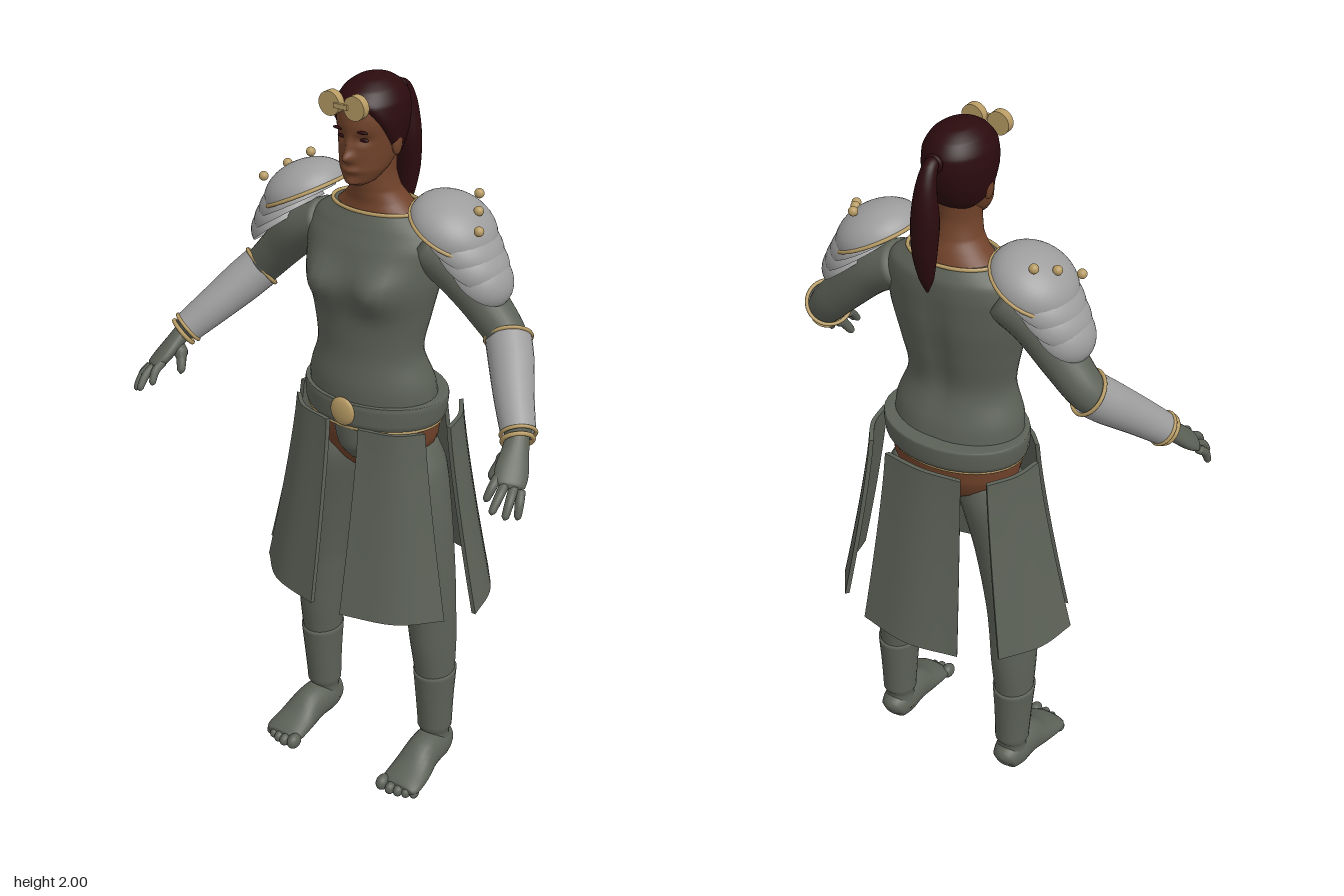
import * as THREE from 'three';
import { toCreasedNormals } from 'three/addons/utils/BufferGeometryUtils.js';

const V = (x, y, z) => new THREE.Vector3(x, y, z);
const mat = (name, color, side = THREE.FrontSide) => {
  const m = new THREE.MeshStandardMaterial({ color, side });
  m.name = name;
  return m;
};

// Skins a stack of closed rings of points
function skinRings(rings, caps = true) {
  const n = rings[0].length, pos = [], idx = [];
  rings.forEach(r => r.forEach(p => pos.push(p.x, p.y, p.z)));
  for (let i = 0; i < rings.length - 1; i++) for (let j = 0; j < n; j++) {
    const a = i * n + j, b = i * n + (j + 1) % n;
    idx.push(a, a + n, b, b, a + n, b + n);
  }
  if (caps) [0, rings.length - 1].forEach((r, end) => {
    const c = rings[r].reduce((s, p) => s.add(p), V(0, 0, 0)).divideScalar(n), k = pos.length / 3;
    pos.push(c.x, c.y, c.z);
    for (let j = 0; j < n; j++) {
      const a = r * n + j, b = r * n + (j + 1) % n;
      end ? idx.push(k, b, a) : idx.push(k, a, b);
    }
  });
  const g = new THREE.BufferGeometry();
  g.setAttribute('position', new THREE.Float32BufferAttribute(pos, 3));
  g.setIndex(idx);
  g.computeVertexNormals();
  return g;
}

// Sweeps an ellipse along rows of [x, y, z, ra, rb]; level keeps the rings horizontal
function sweep(rows, { level = false, ref = V(0, 0, 1), steps = 24, seg = 24, warp = null, caps = true } = {}) {
  const path = new THREE.CatmullRomCurve3(rows.map(r => V(r[0], r[1], r[2])));
  const radii = new THREE.CatmullRomCurve3(rows.map(r => V(r[3], r[4] ?? r[3], 0)));
  const rings = [];
  for (let i = 0; i <= steps; i++) {
    const c = path.getPoint(i / steps), r = radii.getPoint(i / steps);
    const t = level ? V(0, 1, 0) : path.getTangent(i / steps);
    const u = t.clone().cross(ref).normalize(), v = u.clone().cross(t), ring = [];
    for (let j = 0; j < seg; j++) {
      const a = j / seg * Math.PI * 2;
      const p = c.clone().addScaledVector(u, Math.cos(a) * r.x).addScaledVector(v, Math.sin(a) * r.y);
      if (warp) warp(p, c);
      ring.push(p);
    }
    rings.push(ring);
  }
  return skinRings(rings, caps);
}

// Upright form from rows of [y, halfWidth, frontZ, backZ]
const loft = (rows, opt = {}) => sweep(
  rows.map(([y, w, f, b]) => [0, y, (f + b) / 2, w, (f - b) / 2]), { level: true, steps: 40, seg: 40, ...opt });

// Skirt panel between a lower and an upper arc of [x, z] points
function skirtPanel(bottom, top) {
  const arc = pts => new THREE.CatmullRomCurve3(pts.map(([x, z]) => V(x, 0, z)));
  const lo = arc(bottom), hi = arc(top), n = 10, rings = [];
  [0, ...Array.from({ length: 11 }, (_, i) => i / 10), 1].forEach((h, k) => {
    const thick = k === 0 || k === 12 ? 0 : 0.012, outer = [], inner = [];
    for (let i = 0; i <= n; i++) {
      const p = hi.getPoint(i / n).lerp(lo.getPoint(i / n), Math.pow(1 - h, 1.2));
      const q = p.clone().multiplyScalar(1 - thick / p.length());
      p.y = q.y = 0.578 + h * 0.527;
      outer.push(p);
      inner.unshift(q);
    }
    rings.push([...outer, ...inner]);
  });
  return toCreasedNormals(skinRings(rings, false), 0.6);
}

function mirrored(geo) {
  const g = geo.clone().scale(-1, 1, 1);
  const src = g.index ? Array.from(g.index.array) : Array.from({ length: g.attributes.position.count }, (_, i) => i);
  for (let i = 0; i < src.length; i += 3) [src[i], src[i + 1]] = [src[i + 1], src[i]];
  g.setIndex(src);
  return g;
}

const bump = (p, x, y, sx, sy) => Math.exp(-(((p.x - x) / sx) ** 2) - (((p.y - y) / sy) ** 2));
const ball = (x, y, z, rx, ry = rx, rz = rx) => new THREE.SphereGeometry(1, 20, 14).scale(rx, ry, rz).translate(x, y, z);
const ringAt = (p, dir, r, tube) => new THREE.TorusGeometry(r, tube, 8, 32)
  .applyQuaternion(new THREE.Quaternion().setFromUnitVectors(V(0, 0, 1), dir.clone().normalize())).translate(p.x, p.y, p.z);
const loop = (y, w, f, b, tube) => new THREE.TubeGeometry(new THREE.CatmullRomCurve3(
  Array.from({ length: 24 }, (_, i) => i / 12 * Math.PI).map(a => V(Math.cos(a) * w, y, (f + b) / 2 + Math.sin(a) * (f - b) / 2)), true), 72, tube, 8, true);

export function createModel() {
  const model = new THREE.Group();
  const suit = mat('grey green cloth', 0x5c6157, THREE.DoubleSide);
  const steel = mat('steel', 0x9d9d9e, THREE.DoubleSide);
  const skin = mat('skin', 0x70422a);
  const hair = mat('dark red hair', 0x2b0b0e);
  const gold = mat('gold', 0xb79b64);
  const add = (name, geo, m) => {
    const mesh = new THREE.Mesh(geo, m);
    mesh.name = name;
    model.add(mesh);
  };
  const pair = (name, geo, m) => { add(name + 'Left', geo, m); add(name + 'Right', mirrored(geo), m); };

  // Torso, with the chest raised and a shallow spine groove
  add('tunic', loft([[1.09, .185, .11, -.165], [1.2, .18, .112, -.142], [1.3, .15, .1, -.11], [1.4, .168, .1, -.125],
    [1.5, .19, .1, -.14], [1.58, .195, .085, -.145], [1.63, .175, .063, -.142], [1.665, .125, .045, -.122]], {
    warp: (p, c) => {
      if (p.z > c.z) p.z += .045 * (bump(p, .085, 1.485, .06, .06) + bump(p, -.085, 1.485, .06, .06));
      else p.z += .014 * bump(p, 0, 1.42, .03, .2);
    } }), suit);
  add('neckTrim', loop(1.666, .126, .046, -.123, .005), gold);
  add('pelvis', loft([[.925, .02, 0, -.04], [.95, .08, .05, -.09], [1, .155, .08, -.14], [1.05, .18, .1, -.16], [1.11, .185, .11, -.165]]), skin);
  add('loincloth', sweep([[0, .985, .055, .012, .02], [0, 1.03, .075, .04, .033], [0, 1.11, .085, .055, .035]], { level: true }), suit);
  add('hemTrim', loop(1.098, .189, .114, -.169, .005), gold);
  add('belt', loft([[1.1, .18, .1, -.15], [1.102, .194, .118, -.175], [1.115, .2, .122, -.183],
    [1.155, .204, .122, -.186], [1.168, .202, .12, -.184], [1.17, .18, .1, -.15]]), suit);
  add('buckle', ball(0, 1.143, .122, .037, .04, .012), gold);

  // Skirt panels
  pair('frontSkirtPanel', skirtPanel([[.295, .075], [.2, .165], [.047, .21]], [[.205, .045], [.15, .098], [.05, .125]]), suit);
  pair('sideSkirtPanel', skirtPanel([[.25, -.22], [.32, -.115], [.345, 0]], [[.18, -.175], [.225, -.1], [.24, -.02]]), suit);
  add('backSkirtPanel', skirtPanel([[-.15, -.27], [0, -.298], [.15, -.27]], [[-.115, -.197], [0, -.211], [.115, -.197]]), suit);

  // Neck and head
  add('neck', loft([[1.655, .123, .04, -.118], [1.685, .088, .035, -.105], [1.715, .064, .037, -.09],
    [1.76, .055, .04, -.078], [1.82, .055, .03, -.08]]), skin);
  const skull = [[1.742, .02, .07, .03], [1.752, .038, .08, 0], [1.785, .06, .087, -.05], [1.82, .069, .087, -.085], [1.86, .075, .087, -.105],
    [1.9, .078, .09, -.113], [1.94, .074, .083, -.112], [1.97, .056, .058, -.092], [1.987, .03, .025, -.06], [1.992, .004, -.012, -.02]];
  add('head', loft(skull, { steps: 72, seg: 72, warp: (p, c) => {
    if (p.z < c.z + .03) return;
    p.z += .022 * bump(p, 0, 1.818, .014, .013) + .012 * bump(p, 0, 1.843, .009, .025)
      + .009 * bump(p, 0, 1.785, .025, .008) + .008 * bump(p, 0, 1.752, .02, .012)
      - .01 * (bump(p, .032, 1.862, .018, .012) + bump(p, -.032, 1.862, .018, .012));
  } }), skin);
  pair('ear', ball(.075, 1.842, -.008, .01, .03, .018), skin);
  pair('eye', ball(.031, 1.862, .069, .014, .005, .006), hair);
  pair('brow', ball(.033, 1.884, .08, .018, .004, .006), hair);
  // Hair sinks into the head below the hairline
  add('hair', loft(skull, { steps: 72, seg: 72, warp: (p, c) => {
    const z = p.z, line = z > .07 ? 1.935 : z > .01 ? 1.84 + (z - .01) * 1.58 : Math.max(1.76, 1.84 + (z - .01) * .9);
    const off = THREE.MathUtils.clamp((p.y - line) * .6, -.01, .009);
    p.add(V(p.x - c.x, Math.max(0, p.y - 1.93) * .6, p.z - c.z).normalize().multiplyScalar(off));
  } }), hair);
  add('ponytail', sweep([[0, 1.935, -.105, .014], [0, 1.937, -.14, .018], [0, 1.89, -.162, .026, .026], [0, 1.8, -.168, .032, .036],
    [0, 1.72, -.172, .026, .032], [0, 1.65, -.166, .016, .02], [0, 1.61, -.162, .003]], { ref: V(1, 0, 0), steps: 36 }), hair);
  add('hairTie', ringAt(V(0, 1.937, -.128), V(0, 0, 1), .018, .006), hair);
  // Brow ornament
  pair('browDisc', new THREE.CylinderGeometry(.03, .03, .022, 28).rotateX(Math.PI / 2).translate(.036, 1.953, .106), gold);
  add('browBar', new THREE.BoxGeometry(.04, .012, .008).translate(0, 1.953, .118), gold);

  // Shoulder armour: a main dome over overlapping plates
  const dome = (x, y, r, h, tilt) => new THREE.SphereGeometry(1, 32, 12, 0, Math.PI * 2, 0, Math.PI / 2)
    .scale(r, h, r).rotateZ(-tilt).translate(x, y, -.038);
  pair('shoulderDome', dome(.222, 1.648, .115, .078, .46), steel);
  pair('shoulderTrim', ringAt(V(.222, 1.648, -.038), V(Math.sin(.46), Math.cos(.46), 0), .115, .005), gold);
  [[.252, 1.612, .107, .5], [.278, 1.575, .1, .58], [.303, 1.537, .088, .66]].forEach(([x, y, r, t], i) =>
    pair('shoulderPlate' + (i + 1), dome(x, y, r, .068, t), steel));
  [[.255, 1.724, -.1], [.288, 1.703, -.045], [.324, 1.677, .01]].forEach((p, i) => pair('stud' + (i + 1), ball(...p, .0125), gold));

  // Arms and bracers
  pair('arm', sweep([[.15, 1.585, -.04, .06, .07], [.24, 1.54, -.042, .064, .07], [.32, 1.46, -.048, .056, .06],
    [.39, 1.385, -.04, .05], [.455, 1.31, .04, .044], [.522, 1.232, .125, .032]]), suit);
  pair('bracer', sweep([[.385, 1.392, -.045, .058], [.415, 1.357, -.01, .057], [.465, 1.297, .055, .05], [.516, 1.238, .115, .043]], { caps: false }), steel);
  const armDir = V(.13, -.153, .16);
  pair('elbowTrim', ringAt(V(.385, 1.392, -.045), armDir, .058, .005), gold);
  pair('wristTrim', ringAt(V(.516, 1.238, .115), armDir, .043, .005), gold);
  pair('bracelet', ringAt(V(.522, 1.228, .128), armDir, .038, .006), gold);

  // Hands
  const palm = V(.5, .7, .42);
  pair('palm', sweep([[.518, 1.237, .12, .028, .025], [.53, 1.21, .15, .034, .022], [.545, 1.175, .19, .042, .02],
    [.555, 1.155, .215, .038, .016], [.558, 1.148, .222, .02, .008]], { ref: palm }), suit);
  [[.524, 1.17, .217, .522, 1.13, .264], [.546, 1.16, .217, .55, 1.113, .283], [.565, 1.15, .211, .577, 1.1, .267],
    [.58, 1.142, .203, .594, 1.092, .238]].forEach(([a, b, c, d, e, f], i) => pair('finger' + (i + 1),
    sweep([[a, b, c, .012], [(a + d) / 2 + .003, (b + e) / 2 + .006, (c + f) / 2 + .004, .0115], [d, e, f, .009],
      [d, e - .006, f + .004, .002]], { ref: palm, steps: 14, seg: 12 }), suit));
  pair('thumb', sweep([[.522, 1.205, .15, .014], [.5, 1.175, .168, .014], [.488, 1.145, .185, .011], [.486, 1.136, .19, .002]],
    { steps: 14, seg: 12 }), suit);

  // Legs, boots and toes
  pair('leg', sweep([[.195, .05, -.045, .045, .048], [.195, .12, -.045, .045, .048], [.195, .22, -.042, .048, .053], [.195, .3, -.04, .053, .06],
    [.19, .42, -.036, .061, .074], [.184, .52, -.031, .067, .075], [.178, .6, -.028, .071, .079], [.15, .8, -.02, .086, .094],
    [.118, .95, -.022, .095, .105], [.1, 1.03, -.03, .075, .085]], { level: true, steps: 40 }), suit);
  pair('bootShaft', sweep([[.195, .05, -.045, .048, .051], [.195, .12, -.045, .048, .051], [.195, .22, -.042, .052, .058], [.195, .318, -.04, .059, .066]],
    { level: true }), suit);
  pair('foot', sweep([[.195, .042, -.096, .015, .02], [.195, .048, -.085, .038, .042], [.196, .055, -.04, .05, .054], [.199, .055, .02, .05, .055],
    [.203, .036, .085, .058, .036], [.205, .025, .14, .06, .024], [.205, .022, .158, .05, .015]],
  { ref: V(0, 1, 0), warp: p => { p.y = Math.max(0, p.y); } }), suit);
  [[.157, .16, .018], [.186, .164, .0145], [.21, .16, .0135], [.232, .153, .0125], [.252, .143, .0115]].forEach(([x, z, r], i) =>
    pair('toe' + (i + 1), ball(x, r * 1.25, z, r, r * 1.25, r * 1.4), suit));
  return model;
}
